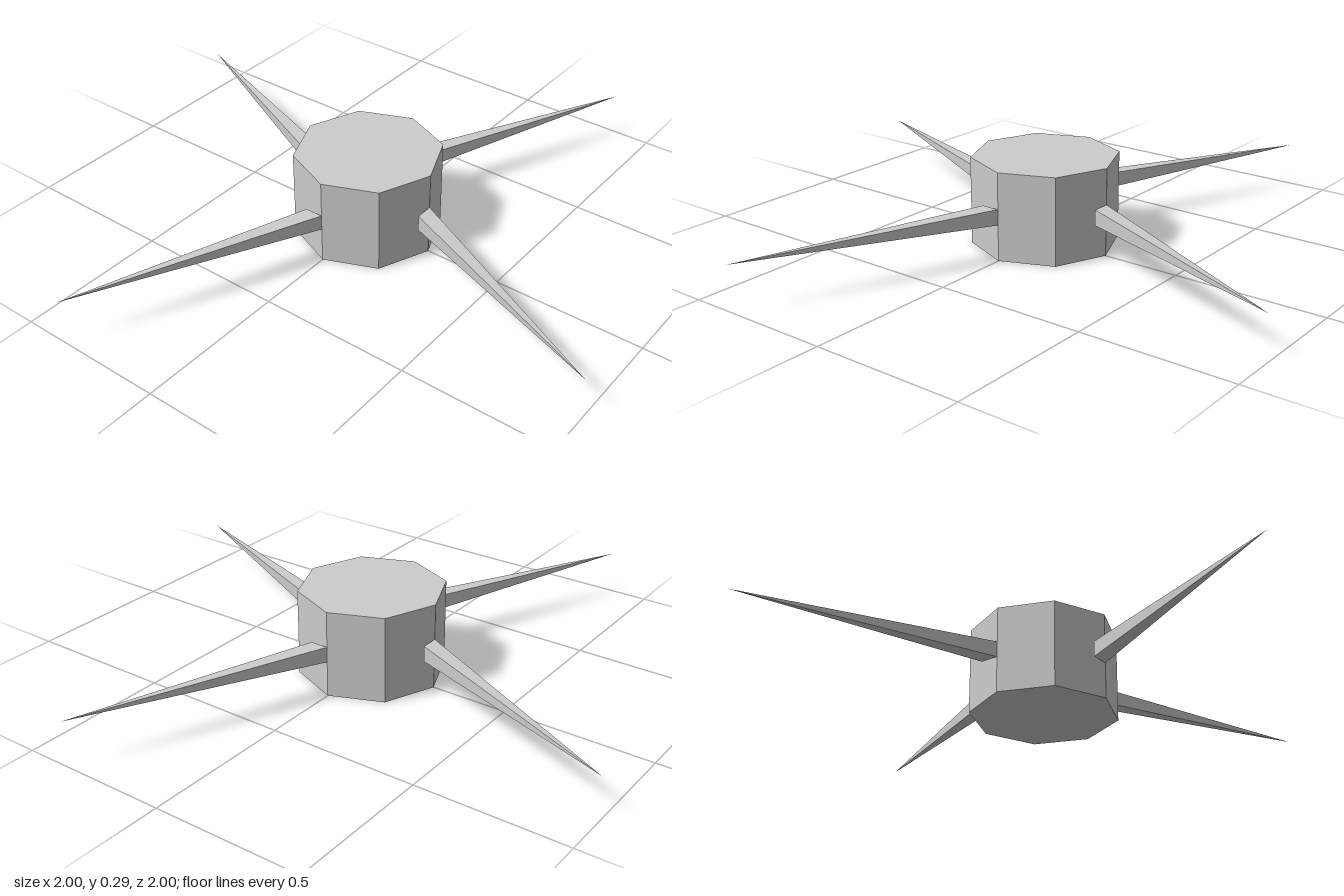
import * as THREE from 'three';

const HUB_RADIUS = 0.24;
const HUB_HEIGHT = 0.29;

// Four-sided spike: a square base beside the hub, swept sideways to a sharp tip
function spikeGeometry() {
  const mid = HUB_HEIGHT / 2, half = 0.026, x = HUB_RADIUS, width = 0.06;
  const base = [
    [x, mid - half, 0], [x, mid + half, 0],
    [x, mid + half, width], [x, mid - half, width],
  ];
  const tip = [1, mid, 0.36];
  const [a, b, c, d] = base;
  const triangles = [a, d, c, a, c, b]; // closed base
  base.forEach((p, i) => triangles.push(p, base[(i + 1) % 4], tip));
  const geometry = new THREE.BufferGeometry();
  geometry.setAttribute('position', new THREE.Float32BufferAttribute(triangles.flat(), 3));
  geometry.computeVertexNormals();
  return geometry;
}

export function createModel() {
  const model = new THREE.Group();
  model.name = 'spikedHub';

  const grey = new THREE.MeshStandardMaterial({ color: 0xcccccc, flatShading: true });
  grey.name = 'light grey';

  // Octagonal hub
  const hub = new THREE.Mesh(
    new THREE.CylinderGeometry(HUB_RADIUS, HUB_RADIUS, HUB_HEIGHT, 8), grey);
  hub.name = 'hub';
  hub.position.y = HUB_HEIGHT / 2;
  model.add(hub);

  // Four spikes, a quarter turn apart
  const geometry = spikeGeometry();
  ['leftSpike', 'backSpike', 'rightSpike', 'frontSpike'].forEach((name, i) => {
    const spike = new THREE.Mesh(geometry, grey);
    spike.name = name;
    spike.rotation.y = i * Math.PI / 2;
    model.add(spike);
  });

  return model;
}
